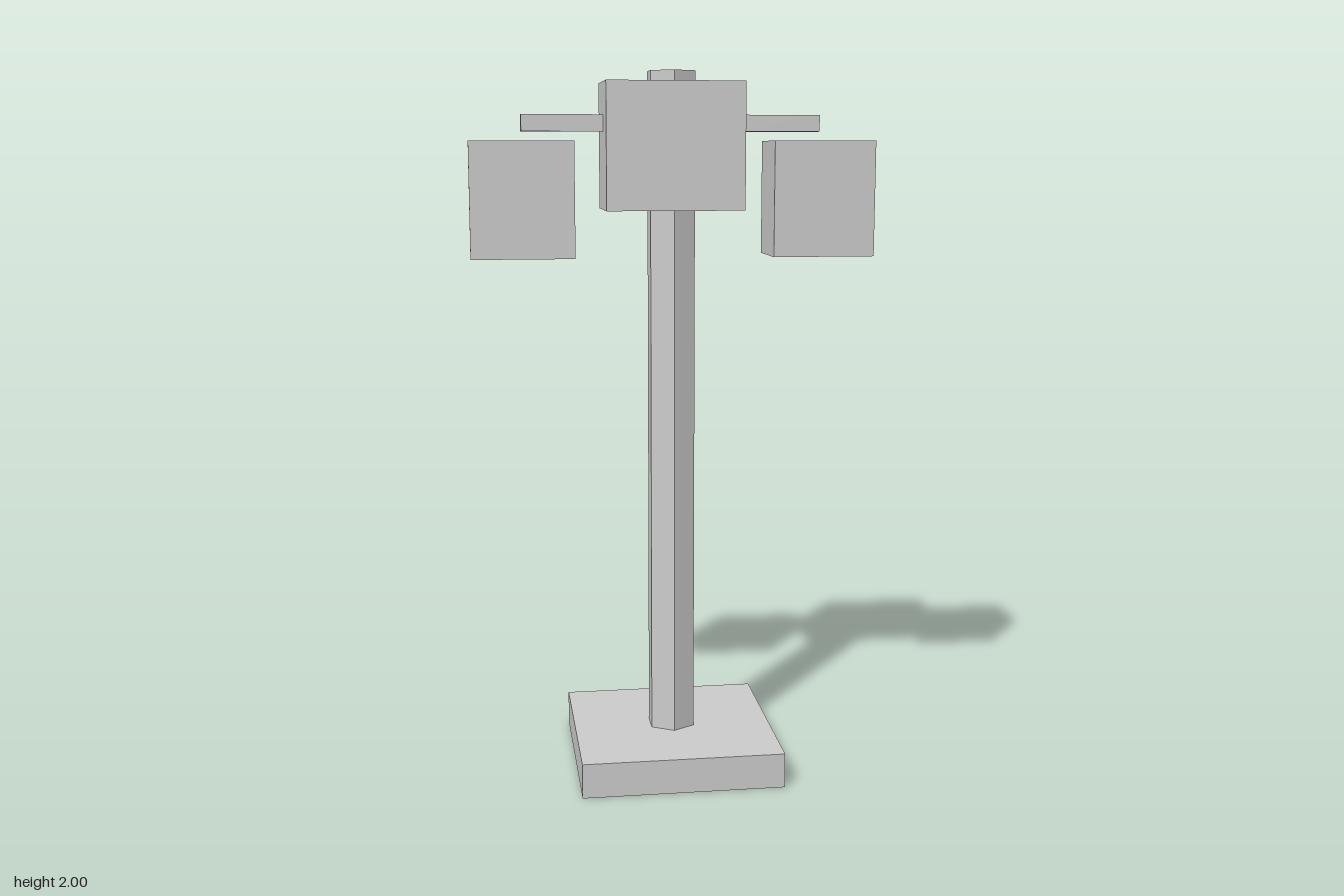
import * as THREE from 'three';

export function createModel() {
  const model = new THREE.Group();
  model.name = 'signalPost';
  const grey = new THREE.MeshStandardMaterial({ color: 0xcccccc });
  grey.name = 'lightGrey';

  const add = (name, geometry, x, y, z) => {
    const mesh = new THREE.Mesh(geometry, grey);
    mesh.name = name;
    mesh.position.set(x, y, z);
    model.add(mesh);
  };
  const box = (name, w, h, d, x, y, z) =>
    add(name, new THREE.BoxGeometry(w, h, d), x, y, z);

  // Square foot
  box('base', 0.576, 0.1, 0.576, 0, 0.05, 0);

  // Hexagonal pole, running through the head; toNonIndexed keeps its faces flat
  const pole = new THREE.CylinderGeometry(0.072, 0.072, 1.9, 6).toNonIndexed();
  pole.computeVertexNormals();
  add('pole', pole, 0, 1.05, 0);

  // Central head
  box('head', 0.384, 0.35, 0.226, 0, 1.795, 0);

  // Side arms, hanging boxes and their raised back panels
  for (const [side, s] of [['left', 1], ['right', -1]]) {
    box(side + 'Arm', 0.23, 0.046, 0.046, s * 0.303, 1.858, 0);
    box(side + 'SideBox', 0.286, 0.32, 0.19, s * 0.42, 1.65, 0);
    box(side + 'BackPanel', 0.24, 0.256, 0.0095, s * 0.42, 1.65, -0.0998);
  }
  return model;
}
